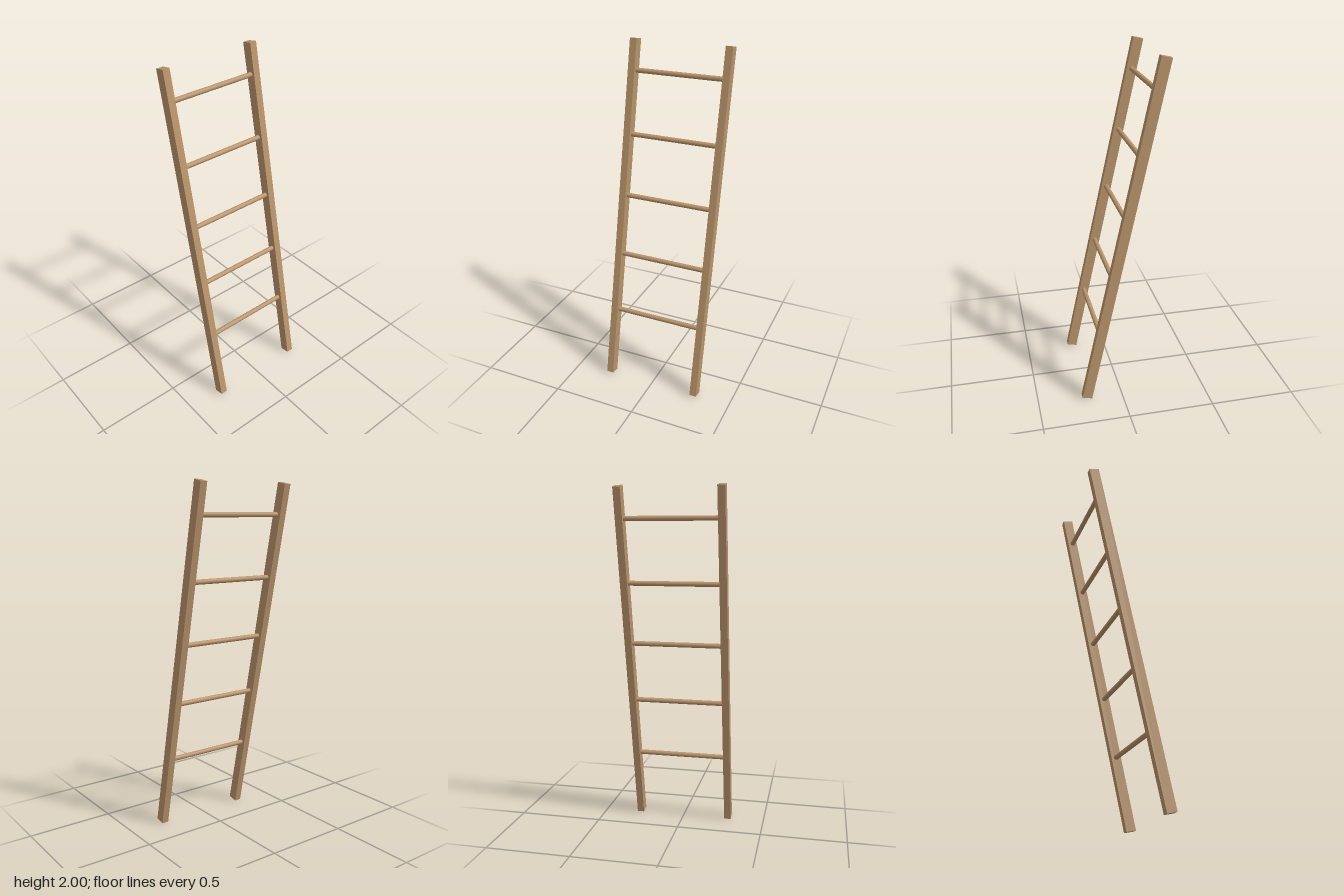
import * as THREE from 'three';

export function createModel() {
  const ladder = new THREE.Group();
  ladder.name = 'ladder';
  const wood = new THREE.MeshStandardMaterial({ color: 0xb8936a });
  wood.name = 'wood';

  // Everything is built upright around the middle, then leaned back
  const frame = new THREE.Group();
  frame.name = 'leaningFrame';
  frame.position.y = 1;
  frame.rotation.x = THREE.MathUtils.degToRad(-12);
  ladder.add(frame);

  // Two square-edged side rails
  const railX = 0.279;
  const railGeometry = new THREE.BoxGeometry(0.041, 2.032, 0.058);
  for (const [name, side] of [['leftRail', 1], ['rightRail', -1]]) {
    const rail = new THREE.Mesh(railGeometry, wood);
    rail.name = name;
    rail.position.x = side * railX;
    frame.add(rail);
  }

  // Five round rungs, their ends set into the rails
  const rungGeometry = new THREE.CylinderGeometry(0.014, 0.014, railX * 2, 16).rotateZ(Math.PI / 2);
  for (let i = 0; i < 5; i++) {
    const rung = new THREE.Mesh(rungGeometry, wood);
    rung.name = `rung${i + 1}`;
    rung.position.y = 0.125 + (i - 2) * 0.359;
    frame.add(rung);
  }

  return ladder;
}
